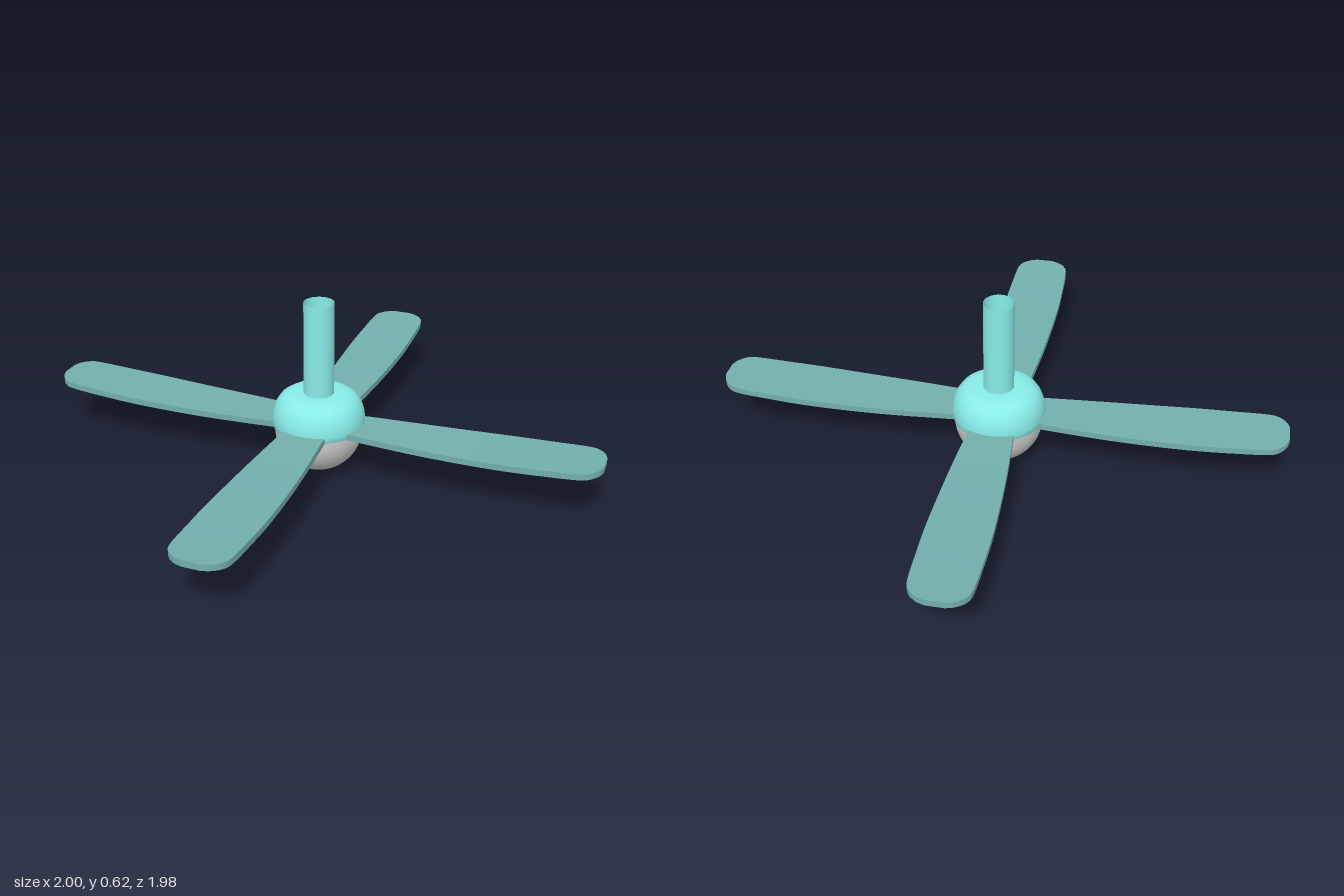
import * as THREE from 'three';

const HUB_Z = -0.018;
const v2 = (pairs) => pairs.map(([x, y]) => new THREE.Vector2(x, y));

// Blade outline: distance from the middle, half width
const outline = new THREE.SplineCurve(v2([
  [0.08, 0.07], [0.17, 0.079], [0.4, 0.096], [0.65, 0.106], [0.82, 0.104],
  [0.93, 0.099], [0.967, 0.085], [0.99, 0.058], [1, 0.03],
]));

// A thin plank widened along its outline and swept up towards the tip
function bladeGeometry() {
  const geo = new THREE.BoxGeometry(1, 0.022, 2, 48, 1, 4);
  const pos = geo.attributes.position;
  for (let i = 0; i < pos.count; i++) {
    const p = outline.getPoint(pos.getX(i) + 0.5);
    const rise = 0.026 * Math.max(0, (p.x - 0.3) / 0.7) ** 2;
    pos.setXYZ(i, p.x, pos.getY(i) + 0.179 + rise, pos.getZ(i) * p.y);
  }
  geo.computeVertexNormals();
  return geo;
}

export function createModel() {
  const group = new THREE.Group();
  const teal = new THREE.MeshStandardMaterial({ color: 0x88ece8, side: THREE.DoubleSide });
  const darkTeal = new THREE.MeshStandardMaterial({ color: 0x72afac });
  const grey = new THREE.MeshStandardMaterial({ color: 0xcccccc });

  const add = (name, geo, mat, y = 0, z = HUB_Z) => {
    const mesh = new THREE.Mesh(geo, mat);
    mesh.name = name;
    mesh.position.set(0, y, z);
    group.add(mesh);
    return mesh;
  };

  // Open hanging tube
  add('stem', new THREE.CylinderGeometry(0.053, 0.053, 0.339, 32, 1, true), teal, 0.4535);

  // Rounded motor housing, open in the middle under the stem
  add('motorHousing', new THREE.LatheGeometry(v2([
    [0.154, 0.165], [0.161, 0.169], [0.163, 0.19], [0.16, 0.218], [0.151, 0.245],
    [0.136, 0.268], [0.115, 0.282], [0.09, 0.288], [0.052, 0.288],
  ]), 48), teal);

  // Lamp bowl with a short straight rim and a flat lid
  const bowl = [];
  for (let i = 0; i <= 16; i++) {
    const a = (i / 16) * Math.PI / 2;
    bowl.push([0.155 * Math.sin(a), 0.155 * (1 - Math.cos(a))]);
  }
  bowl.push([0.155, 0.17]);
  add('lampBowl', new THREE.LatheGeometry(v2(bowl), 48), grey);
  add('lampLid', new THREE.CircleGeometry(0.155, 48).rotateX(-Math.PI / 2), grey, 0.17);

  // Four blades; the front and back pair is slightly shorter
  const blade = bladeGeometry();
  for (let i = 0; i < 4; i++) {
    const alongZ = i % 2 === 1;
    const mesh = add('blade' + (i + 1), blade, darkTeal, 0, alongZ ? 0 : -0.006);
    mesh.rotation.y = i * Math.PI / 2;
    if (alongZ) mesh.scale.x = 0.99;
  }
  return group;
}
